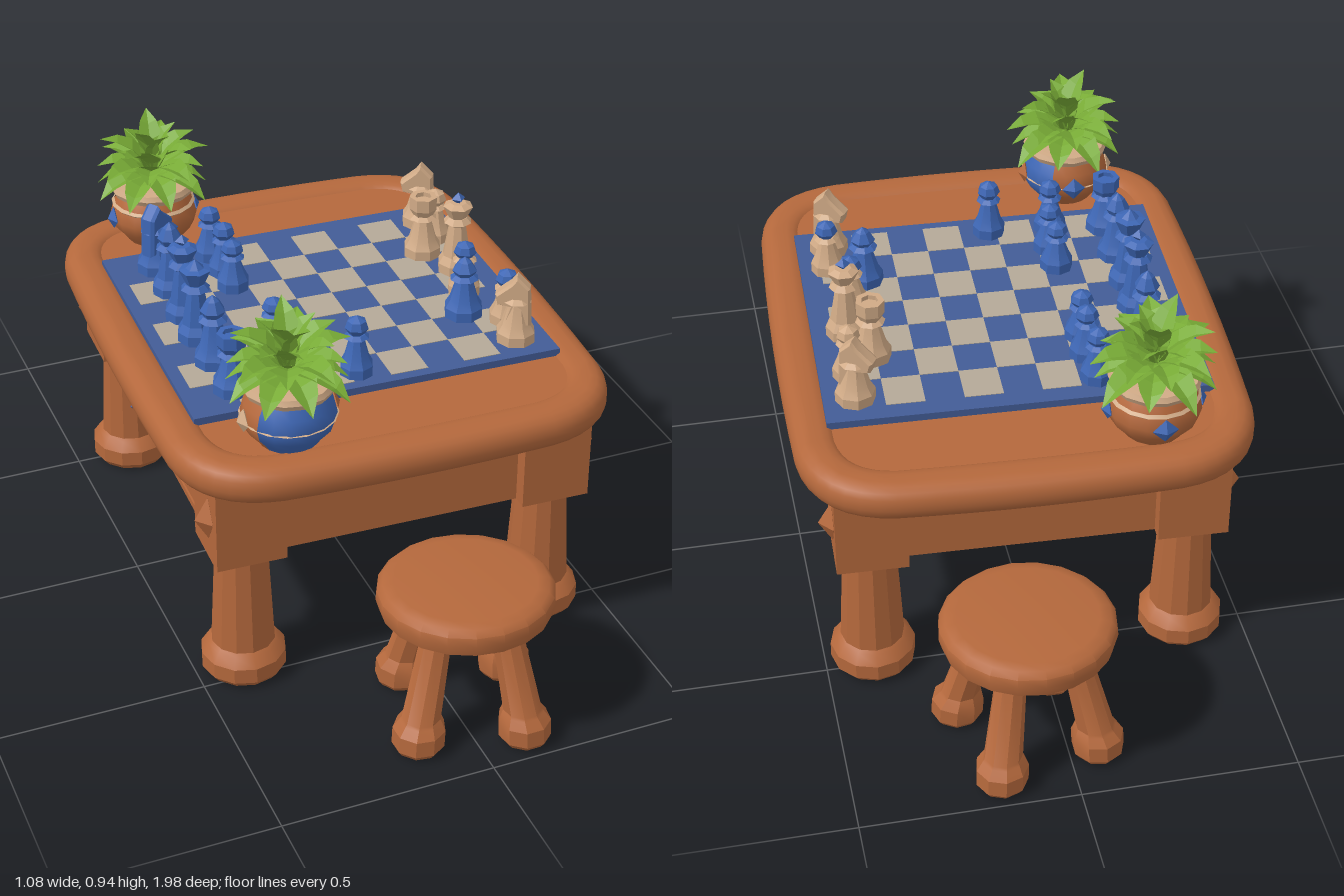
import * as THREE from 'three';
import { toCreasedNormals } from 'three/addons/utils/BufferGeometryUtils.js';

const mat = (name, color, side = THREE.FrontSide) => {
  const m = new THREE.MeshStandardMaterial({ color, side });
  m.name = name;
  return m;
};
const WOOD = mat('warm wood', 0xb4683c);
const BLUE = mat('piece blue', 0x3d66b4);
const BOARD = mat('board blue', 0x435c96);
const SQUARE = mat('pale square', 0xb4a998);
const CREAM = mat('cream', 0xd0aa86);
const LEAF = mat('leaf green', 0x78ab36, THREE.DoubleSide);

const V2 = (p) => new THREE.Vector2(p[0], p[1]);

// Adds a named mesh; crease controls how faceted it looks
function add(parent, name, geo, material, pos = [0, 0, 0], crease = 0.6) {
  const mesh = new THREE.Mesh(toCreasedNormals(geo, crease), material);
  mesh.name = name;
  mesh.position.set(...pos);
  parent.add(mesh);
  return mesh;
}
const box = (w, h, d) => new THREE.BoxGeometry(w, h, d);
const lathe = (pts, n = 12, start = 0, len = Math.PI * 2) =>
  new THREE.LatheGeometry(pts.map(V2), n, start, len);
function group(parent, name, x = 0, y = 0, z = 0) {
  const g = new THREE.Group();
  g.name = name;
  g.position.set(x, y, z);
  parent.add(g);
  return g;
}

// Rounded rectangle whose sides bow outwards by b
function roundRect(P, a, c, r, b = 0) {
  const s = new P();
  s.moveTo(a - r, -c);
  s.quadraticCurveTo(a - r * 0.1, -c + r * 0.1, a, -c + r);
  s.quadraticCurveTo(a + b, 0, a, c - r);
  s.quadraticCurveTo(a - r * 0.1, c - r * 0.1, a - r, c);
  s.quadraticCurveTo(0, c + b, r - a, c);
  s.quadraticCurveTo(-a + r * 0.1, c - r * 0.1, -a, c - r);
  s.quadraticCurveTo(-a - b, 0, -a, r - c);
  s.quadraticCurveTo(-a + r * 0.1, -c + r * 0.1, r - a, -c);
  s.quadraticCurveTo(0, -c - b, a - r, -c);
  return s;
}

function makeTable(root) {
  const t = group(root, 'table', 0, 0, -0.01);
  t.rotation.y = -0.033;

  // Thick rounded rim around a slightly sunken top panel
  const rim = roundRect(THREE.Shape, 0.485, 0.605, 0.17, 0.02);
  rim.holes.push(roundRect(THREE.Path, 0.46, 0.58, 0.15, 0.01));
  const rimGeo = new THREE.ExtrudeGeometry(rim, {
    depth: 0.012, bevelThickness: 0.039, bevelSize: 0.04, bevelSegments: 4, curveSegments: 8,
  }).rotateX(Math.PI / 2);
  add(t, 'topRim', rimGeo, WOOD, [0, 0.596, 0], 0.9);
  const panel = new THREE.ExtrudeGeometry(roundRect(THREE.Shape, 0.48, 0.6, 0.16), {
    depth: 0.076, bevelEnabled: false, curveSegments: 8,
  }).rotateX(Math.PI / 2);
  add(t, 'topPanel', panel, WOOD, [0, 0.625, 0]);

  // Apron, corner posts and club-footed legs
  add(t, 'apron', box(0.85, 0.205, 1.04), WOOD, [0, 0.4475, 0]);
  const legGeo = lathe([[0, 0.004], [0.085, 0.004], [0.1, 0.022], [0.1, 0.06], [0.083, 0.084],
    [0.075, 0.09], [0.062, 0.345]], 12);
  for (const sx of [-1, 1]) {
    for (const sz of [-1, 1]) {
      add(t, 'leg', legGeo, WOOD, [0.37 * sx, 0, 0.475 * sz], 0.5);
      add(t, 'cornerPost', box(0.165, 0.205, 0.165), WOOD, [0.37 * sx, 0.4475, 0.475 * sz]);
      add(t, 'postDiamond', new THREE.OctahedronGeometry(1).scale(0.032, 0.055, 0.035), WOOD,
        [0.453 * sx, 0.455, 0.5 * sz], 0.1);
    }
    makeDrawer(t, sx);
  }

  // Chessboard with pale squares
  add(t, 'chessboard', box(0.89, 0.022, 0.77), BOARD, [0, 0.632, 0]);
  for (let i = -4; i <= 4; i++) {
    for (let j = 0; j < 7; j++) {
      if ((i + j) % 2 === 0) continue;
      add(t, 'paleSquare', box(0.09, 0.003, 0.1), SQUARE, [i * 0.09 - 0.01, 0.643, j * 0.1 - 0.29]);
    }
  }
}

// Framed drawer with a carved crest and a gem, facing along x
function makeDrawer(t, sx) {
  const d = group(t, 'drawer', 0.425 * sx, 0.447, 0);
  for (const s of [-1, 1]) {
    add(d, 'frameRail', box(0.03, 0.016, 0.78), WOOD, [0, s * 0.069, 0]);
    add(d, 'frameStile', box(0.03, 0.154, 0.016), WOOD, [0, 0, s * 0.382]);
    add(d, 'panelRail', box(0.036, 0.012, 0.4), WOOD, [0, s * 0.04, 0]);
    add(d, 'panelStile', box(0.036, 0.09, 0.012), WOOD, [0, 0, s * 0.2]);
    add(d, 'crestLeaf', new THREE.OctahedronGeometry(1).scale(0.025, 0.02, 0.06), WOOD,
      [sx * 0.014, 0, s * 0.055], 0.1);
    add(d, 'crestPoint', new THREE.OctahedronGeometry(1).scale(0.025, 0.035, 0.02), WOOD,
      [sx * 0.014, s * 0.035, 0], 0.1);
  }
  add(d, 'drawerFront', box(0.022, 0.12, 0.7), WOOD);
  add(d, 'drawerGem', new THREE.OctahedronGeometry(1).scale(0.03, 0.032, 0.024), BLUE,
    [sx * 0.035, 0.008, 0], 0.1);
}

// Round stool on four splayed legs
function makeStool(root, x, z, s) {
  const g = group(root, 'stool', x, 0, z);
  const seat = lathe([[0, -0.04], [0.165, -0.04], [0.193, -0.025], [0.2, 0], [0.198, 0.022],
    [0.185, 0.036], [0.16, 0.04], [0, 0.038]], 20);
  add(g, 'seat', seat, WOOD, [0, 0.324, 0], 0.7).rotation.x = -0.04 * s;
  const legGeo = lathe([[0, 0.006], [0.05, 0.006], [0.06, 0.02], [0.06, 0.06], [0.048, 0.08],
    [0.044, 0.086], [0.034, 0.3]], 9);
  // Lean each leg inwards while the foot stays flat
  const p = legGeo.attributes.position;
  for (let i = 0; i < p.count; i++) p.setX(i, p.getX(i) + 0.17 - 0.065 * Math.max(0, p.getY(i) - 0.05) / 0.25);
  for (let k = 0; k < 4; k++) {
    add(g, 'stoolLeg', legGeo, WOOD, [0, 0, 0], 0.5).rotation.y = -s * (1.03 + k * Math.PI / 2);
  }
}

// One pointed, folded leaf growing along +z
function leafGeometry(len, width, lift) {
  const geo = new THREE.PlaneGeometry(1, 1, 2, 4);
  const p = geo.attributes.position;
  for (let i = 0; i < p.count; i++) {
    const u = p.getX(i), t = p.getY(i) + 0.5;
    const w = width * (0.35 + 2.2 * t) * (1 - t) * 1.35;
    const a = lift - 0.6 * t;
    p.setXYZ(i, u * w, Math.sin(a) * t * len + Math.abs(u) * w * 0.45, Math.cos(a) * t * len);
  }
  return geo;
}

function makePlant(root, x, z, split) {
  const g = group(root, 'pottedPlant', x, 0.63, z);
  const body = [[0, 0], [0.068, 0], [0.076, 0.012], [0.1, 0.04], [0.108, 0.068], [0.1, 0.1], [0.082, 0.128]];
  if (split) {
    add(g, 'potBlueSide', lathe(body, 10, -1.05, 3.67), BLUE, [0, 0, 0], 0.7);
    add(g, 'potClaySide', lathe(body, 8, 2.62, Math.PI * 2 - 3.67), WOOD, [0, 0, 0], 0.7);
  } else add(g, 'pot', lathe(body, 16), WOOD, [0, 0, 0], 0.7);
  add(g, 'potRim', lathe([[0.08, 0.122], [0.1, 0.13], [0.106, 0.143], [0.1, 0.155], [0.075, 0.157],
    [0, 0.15]], 14), CREAM);
  const bandY = split ? 0.068 : 0.1;
  add(g, 'potBand', lathe([[0.1, bandY - 0.005], [bandY > 0.08 ? 0.105 : 0.111, bandY], [0.098, bandY + 0.006]], 16),
    CREAM);
  // Diamond studs around the belly
  for (let k = 0; k < 4; k++) {
    const a = k * Math.PI / 2 + (split ? Math.PI / 2 : 0);
    if (split && k === 3) continue;
    const stud = split ? (k === 0 ? WOOD : k === 2 ? CREAM : BLUE) : BLUE;
    const m = add(g, 'potStud', new THREE.OctahedronGeometry(1).scale(0.03, 0.03, 0.016), stud,
      [Math.sin(a) * 0.105, 0.068, Math.cos(a) * 0.105], 0.1);
    m.rotation.y = a;
  }
  // Rosette: count, length, width, lift, height
  const rings = [[9, 0.15, 0.075, 0.4, 0.165], [9, 0.15, 0.075, 0.85, 0.17],
    [7, 0.145, 0.07, 1.25, 0.175], [5, 0.145, 0.06, 1.65, 0.18]];
  rings.forEach(([n, len, w, lift, y], r) => {
    for (let k = 0; k < n; k++) {
      const vary = 1 + 0.1 * Math.sin(k * 2.7 + r * 1.9);
      add(g, 'leaf', leafGeometry(len * vary, w, lift), LEAF, [0, y, 0], 0.1)
        .rotation.y = (k + r * 0.45) * Math.PI * 2 / n;
    }
  });
}

// Chess piece: turned body, head by kind, optional contrasting cap
function makePiece(root, kind, x, z, h, main, cap = main) {
  const g = group(root, kind, x, 0.643, z);
  const b = kind === 'pawn' ? 0.04 : 0.047;
  add(g, 'body', lathe([[0, 0], [b, 0], [b, 0.025], [b * 0.75, 0.045], [b * 0.45, h * 0.6],
    [b * 0.75, h * 0.64], [b * 0.5, h * 0.7], [0, h * 0.7]], 8), main, [0, 0, 0], 0.3);
  if (kind === 'knight') {
    const s = new THREE.Shape([[-0.03, 0], [0.025, 0], [0.012, 0.045], [0.04, 0.05], [0.045, 0.07],
      [0.01, 0.1], [0, 0.115], [-0.025, 0.09]].map(V2));
    const geo = new THREE.ExtrudeGeometry(s, { depth: 0.024, bevelThickness: 0.008, bevelSize: 0.005, bevelSegments: 1 })
      .translate(0, 0, -0.012);
    add(g, 'horseHead', geo, cap, [0, h - 0.115, 0], 0.3).rotation.y = x < 0 ? 0.6 : 2.6;
    return;
  }
  const heads = {
    pawn: [[0.014, 0.66], [0.028, 0.8], [0.022, 0.92], [0, 1]],
    bishop: [[0.018, 0.66], [0.03, 0.78], [0.016, 0.92], [0, 1]],
    rook: [[0.022, 0.66], [0.034, 0.8], [0.034, 1], [0.02, 1], [0.02, 0.93], [0, 0.93]],
    queen: [[0.018, 0.66], [0.038, 0.88], [0.022, 0.9], [0, 1]],
    king: [[0.018, 0.66], [0.037, 0.84], [0.02, 0.88], [0, 0.88]],
  };
  add(g, 'head', lathe(heads[kind].map(([r, y]) => [r, y * h]), 7), cap, [0, 0, 0], 0.2);
  if (kind === 'king') {
    add(g, 'finial', new THREE.OctahedronGeometry(1).scale(0.018, 0.016, 0.018), BLUE, [0, h * 0.93, 0], 0.1);
  }
}

export function createModel() {
  const root = new THREE.Group();
  root.name = 'chessTableSet';
  makeTable(root);
  makeStool(root, 0.02, 0.785, 1);
  makeStool(root, 0.08, -0.785, -1);
  makePlant(root, -0.28, 0.485, true);
  makePlant(root, -0.26, -0.515, false);

  // Blue army on the -x side
  [['knight', -0.32, -0.32, 0.17], ['bishop', -0.32, -0.2, 0.19], ['king', -0.33, -0.075, 0.22],
    ['queen', -0.335, 0.03, 0.21], ['bishop', -0.335, 0.15, 0.18], ['rook', -0.335, 0.275, 0.15],
    ['pawn', -0.175, -0.33, 0.14], ['pawn', -0.17, -0.24, 0.14], ['pawn', -0.175, -0.165, 0.13],
    ['pawn', -0.18, 0.13, 0.13], ['pawn', -0.18, 0.21, 0.13], ['pawn', -0.2, 0.3, 0.14],
    ['pawn', -0.047, 0.31, 0.15]].forEach(([k, x, z, h]) => makePiece(root, k, x, z, h, BLUE));
  // Cream army on the +x side
  [['knight', 0.38, -0.3, 0.16], ['pawn', 0.38, -0.21, 0.14], ['rook', 0.32, -0.15, 0.16],
    ['king', 0.365, -0.045, 0.21], ['pawn', 0.335, 0.065, 0.14, BLUE], ['pawn', 0.37, 0.225, 0.14, BLUE],
    ['knight', 0.355, 0.31, 0.165]].forEach(([k, x, z, h, c]) => makePiece(root, k, x, z, h, CREAM, c));
  makePiece(root, 'bishop', 0.29, 0.16, 0.155, BLUE);
  return root;
}
